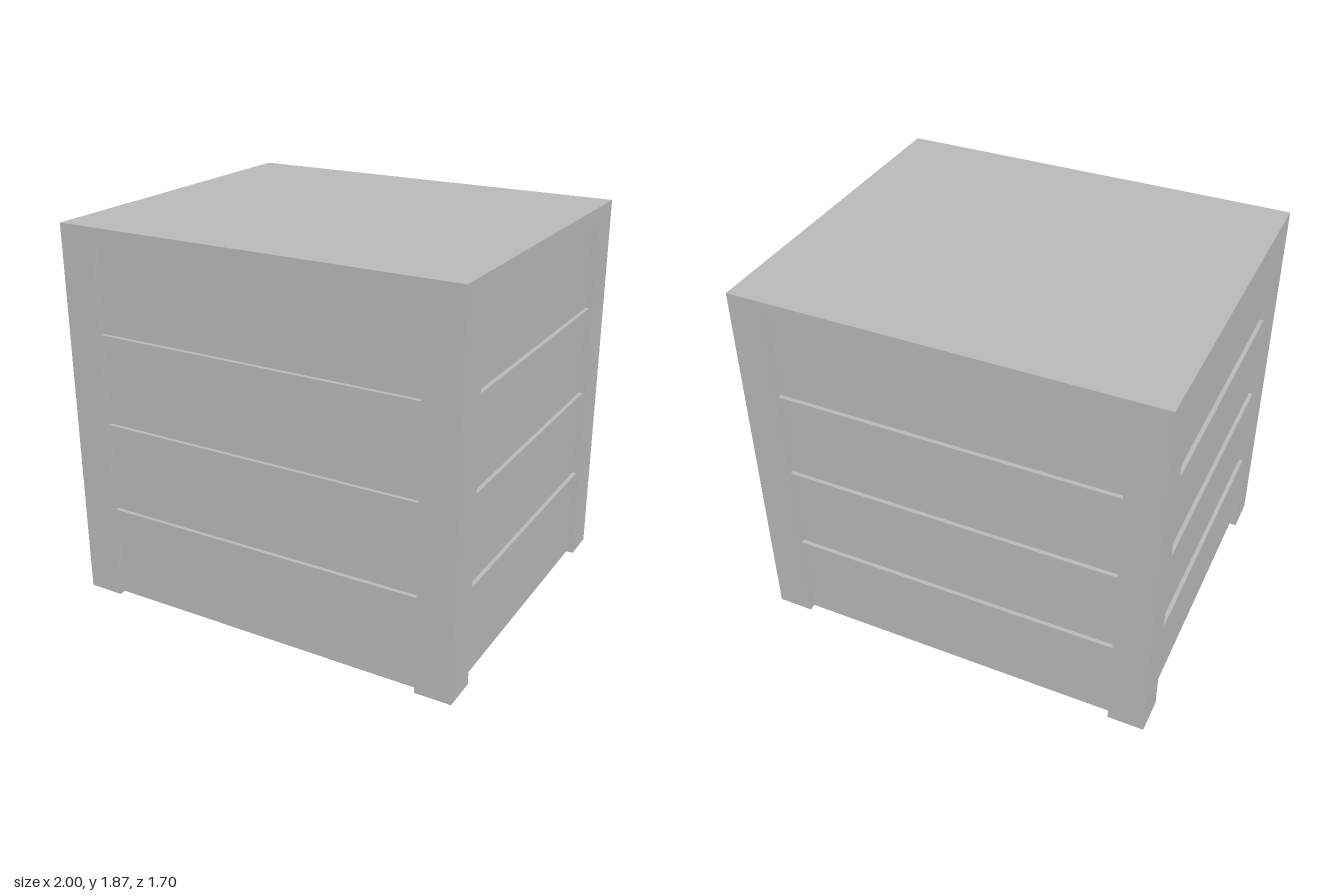
import * as THREE from 'three';

const W = 1, D = 0.85, H = 1.87;        // half width, half depth, height
const RECESS_TOP = 1.795, RECESS = 0.035; // panel opening height and depth
const PX = 0.822, PZ = 0.675;           // half widths of the panel openings
const BAR_H = 0.033, BAR_D = 0.02;      // raised slats on the panels

export function createModel() {
  const group = new THREE.Group();
  const grey = new THREE.MeshStandardMaterial({ color: 0xb8b8b8 });
  grey.name = 'lightGrey';

  function addMesh(name, geometry, x = 0, y = 0, z = 0) {
    const mesh = new THREE.Mesh(geometry, grey);
    mesh.name = name;
    mesh.position.set(x, y, z);
    group.add(mesh);
    return mesh;
  }

  // Body: plan outline with a shallow recess on every side, leaving corner posts
  const ix = W - RECESS, iz = D - RECESS;
  const outline = [
    [W, -D], [W, -PZ], [ix, -PZ], [ix, PZ], [W, PZ], [W, D],
    [PX, D], [PX, iz], [-PX, iz], [-PX, D], [-W, D],
    [-W, PZ], [-ix, PZ], [-ix, -PZ], [-W, -PZ], [-W, -D],
    [-PX, -D], [-PX, -iz], [PX, -iz], [PX, -D],
  ].map(([x, z]) => new THREE.Vector2(x, z));
  const body = new THREE.ExtrudeGeometry(new THREE.Shape(outline), { depth: RECESS_TOP, bevelEnabled: false });
  body.rotateX(-Math.PI / 2);
  addMesh('bodyWithCornerPosts', body);

  // Solid top slab
  const capH = H - RECESS_TOP;
  addMesh('topSlab', new THREE.BoxGeometry(2 * W, capH, 2 * D), 0, RECESS_TOP + capH / 2, 0);

  // Three horizontal slats on each of the four panels
  for (const y of [0.451, 0.898, 1.346]) {
    for (const side of [1, -1]) {
      addMesh(side > 0 ? 'frontSlat' : 'backSlat',
        new THREE.BoxGeometry(2 * PX, BAR_H, BAR_D), 0, y, side * (iz + BAR_D / 2));
      addMesh(side > 0 ? 'leftSlat' : 'rightSlat',
        new THREE.BoxGeometry(BAR_D, BAR_H, 2 * PZ), side * (ix + BAR_D / 2), y, 0);
    }
  }
  return group;
}
